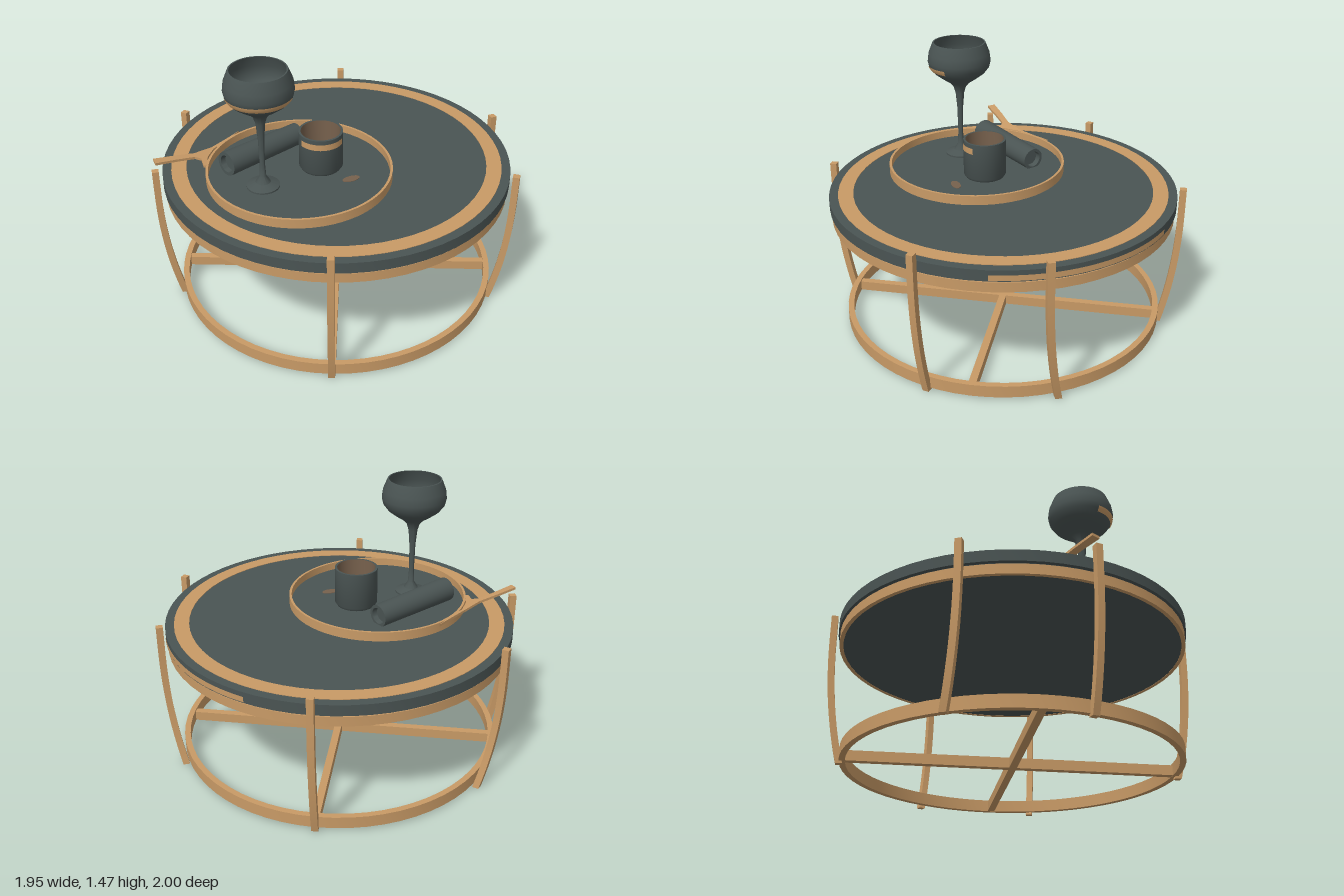
import * as THREE from 'three';
import { toCreasedNormals } from 'three/addons/utils/BufferGeometryUtils.js';

const mat = (name, color) => new THREE.MeshStandardMaterial({ name, color });

export function createModel() {
  const slate = mat('slate', 0x4a5453);
  const wood = mat('wood', 0xc89a66);
  const brown = mat('brown', 0x77614d);
  const model = new THREE.Group();
  model.name = 'coffeeTable';

  const add = (name, geometry, material, parent = model) => {
    const mesh = new THREE.Mesh(geometry, material);
    mesh.name = name;
    parent.add(mesh);
    return mesh;
  };
  // Turned shape from [radius, y] pairs, with sharp corners kept
  const turned = (pts, segs = 48, start = 0, length = Math.PI * 2) => toCreasedNormals(
    new THREE.LatheGeometry(pts.map(([r, y]) => new THREE.Vector2(r, y)), segs, start, length), 0.6);
  const ring = (ri, ro, y0, y1, segs = 64) =>
    turned([[ro, y0], [ro, y1], [ri, y1], [ri, y0], [ro, y0]], segs);
  const disc = (r, y0, y1, segs = 64) => turned([[0, y0], [r, y0], [r, y1], [0, y1]], segs);

  // Table top, inlay and lower rim
  add('tableTop', disc(0.955, 0.72, 0.78), slate);
  add('underside', disc(0.932, 0.659, 0.721), slate);
  add('lowerRim', ring(0.925, 0.946, 0.657, 0.71), wood);
  add('topInlay', ring(0.825, 0.907, 0.777, 0.783), wood);
  add('edgeInlay', turned([[0.9565, 0.725], [0.9565, 0.755]], 24, 1.68, 1.1), wood);

  // Base ring and crossed stretchers
  add('baseRing', ring(0.868, 0.9, 0.014, 0.08), wood);
  add('stretcherX', new THREE.BoxGeometry(1.75, 0.055, 0.04), wood).position.y = 0.043;
  add('stretcherZ', new THREE.BoxGeometry(0.04, 0.055, 1.75), wood).position.y = 0.043;

  // Bowed legs: [bottom x, bottom z, top x, top z]
  const legHeight = 0.833;
  const bow = (t) => 1 - Math.pow(1 - Math.min(t / 0.85, 1), 2.2);
  const leg = (name, [bx, bz, tx, tz]) => {
    const geo = new THREE.BoxGeometry(0.036, legHeight, 0.036, 1, 14, 1);
    geo.rotateY(Math.atan2(tx, tz));
    const p = geo.attributes.position;
    for (let i = 0; i < p.count; i++) {
      const y = p.getY(i) + legHeight / 2;
      const f = bow(y / legHeight);
      p.setXYZ(i, p.getX(i) + bx + (tx - bx) * f, y, p.getZ(i) + bz + (tz - bz) * f);
    }
    geo.computeVertexNormals();
    add(name, geo, wood);
  };
  leg('frontLeg', [0, 0.898, 0, 0.982]);
  leg('backLeg', [0, -0.898, 0, -0.982]);
  for (const [side, s] of [['left', 1], ['right', -1]]) {
    leg(side + 'FrontLeg', [s * 0.87, 0.235, s * 0.955, 0.262]);
    leg(side + 'BackLeg', [s * 0.81, -0.43, s * 0.905, -0.39]);
  }

  // Tray with a forked handle
  const tray = new THREE.Group();
  tray.name = 'tray';
  tray.position.set(-0.193, 0, 0.19);
  model.add(tray);
  add('trayFloor', disc(0.492, 0.779, 0.793), slate, tray);
  add('trayRim', ring(0.487, 0.5, 0.784, 0.836), wood, tray);

  const outline = [[-0.56, -0.17], [-0.62, -0.08], [-0.69, 0.02], [-0.77, 0.11], [-0.86, 0.165], [-0.965, 0.235],
    [-0.945, 0.275], [-0.85, 0.205], [-0.76, 0.145], [-0.725, 0.15], [-0.705, 0.21], [-0.685, 0.21],
    [-0.695, 0.12], [-0.675, 0.03], [-0.61, -0.07]];
  const handleShape = new THREE.Shape(outline.map(([x, z]) => new THREE.Vector2(x, -z)));
  const handleGeo = new THREE.ExtrudeGeometry(handleShape, { depth: 0.014, bevelEnabled: false });
  handleGeo.rotateX(-Math.PI / 2);
  const hp = handleGeo.attributes.position;
  for (let i = 0; i < hp.count; i++) {
    const out = Math.max(0, -hp.getX(i) - 0.68);
    hp.setY(i, hp.getY(i) + 0.822 + out * 0.2);
  }
  handleGeo.computeVertexNormals();
  add('trayHandle', handleGeo, wood);

  // Small worn spot on the tray
  const spot = add('traySpot', new THREE.CylinderGeometry(0.05, 0.05, 0.004, 20), brown);
  spot.position.set(0.085, 0.794, 0.25);
  spot.scale.z = 0.5;
  spot.rotation.y = 0.5;

  // Stemmed glass with a front stripe
  const glass = new THREE.Group();
  glass.name = 'stemGlass';
  glass.position.set(-0.375, 0, 0.325);
  model.add(glass);
  const bowl = [[0.06, 1.235], [0.105, 1.265], [0.145, 1.295], [0.172, 1.33], [0.18, 1.365], [0.174, 1.41], [0.15, 1.47]];
  add('glassBody', turned([[0, 0.793], [0.088, 0.793], [0.088, 0.802], [0.04, 0.82], [0.018, 0.855], [0.014, 0.93],
    [0.017, 1.08], [0.025, 1.17], [0.037, 1.21], ...bowl,
    [0.142, 1.47], [0.166, 1.41], [0.172, 1.365], [0.162, 1.33], [0.135, 1.3], [0.09, 1.27], [0, 1.25]], 40), slate, glass);
  add('glassStripe', turned([[0.1625, 1.313], [0.1745, 1.33], [0.1775, 1.343]], 28, -1.2, 2.5), wood, glass);

  // Cup with a stripe and brown lining
  const cup = new THREE.Group();
  cup.name = 'cup';
  cup.position.set(-0.08, 0, 0.12);
  model.add(cup);
  add('cupBody', turned([[0, 0.793], [0.108, 0.793], [0.119, 0.81], [0.119, 1.014], [0.107, 1.014]], 40), slate, cup);
  add('cupLining', turned([[0.107, 1.014], [0.107, 0.815]], 40), brown, cup);
  add('cupFloor', disc(0.107, 0.805, 0.815, 40), slate, cup);
  add('cupStripe', turned([[0.121, 0.957], [0.121, 0.992]], 24, -0.95, 2.15), wood, cup);

  // Rolled napkin, recessed at both ends
  const a = new THREE.Vector3(-0.578, 0.862, 0.228), b = new THREE.Vector3(-0.228, 0.845, -0.132);
  const half = a.distanceTo(b) / 2;
  const roll = add('rolledNapkin', turned([[0, -half + 0.03], [0.045, -half + 0.03], [0.048, -half], [0.067, -half],
    [0.062, half], [0.046, half], [0.043, half - 0.03], [0, half - 0.03]], 32), slate);
  roll.position.copy(a).add(b).multiplyScalar(0.5);
  roll.quaternion.setFromUnitVectors(new THREE.Vector3(0, 1, 0), b.clone().sub(a).normalize());

  return model;
}
